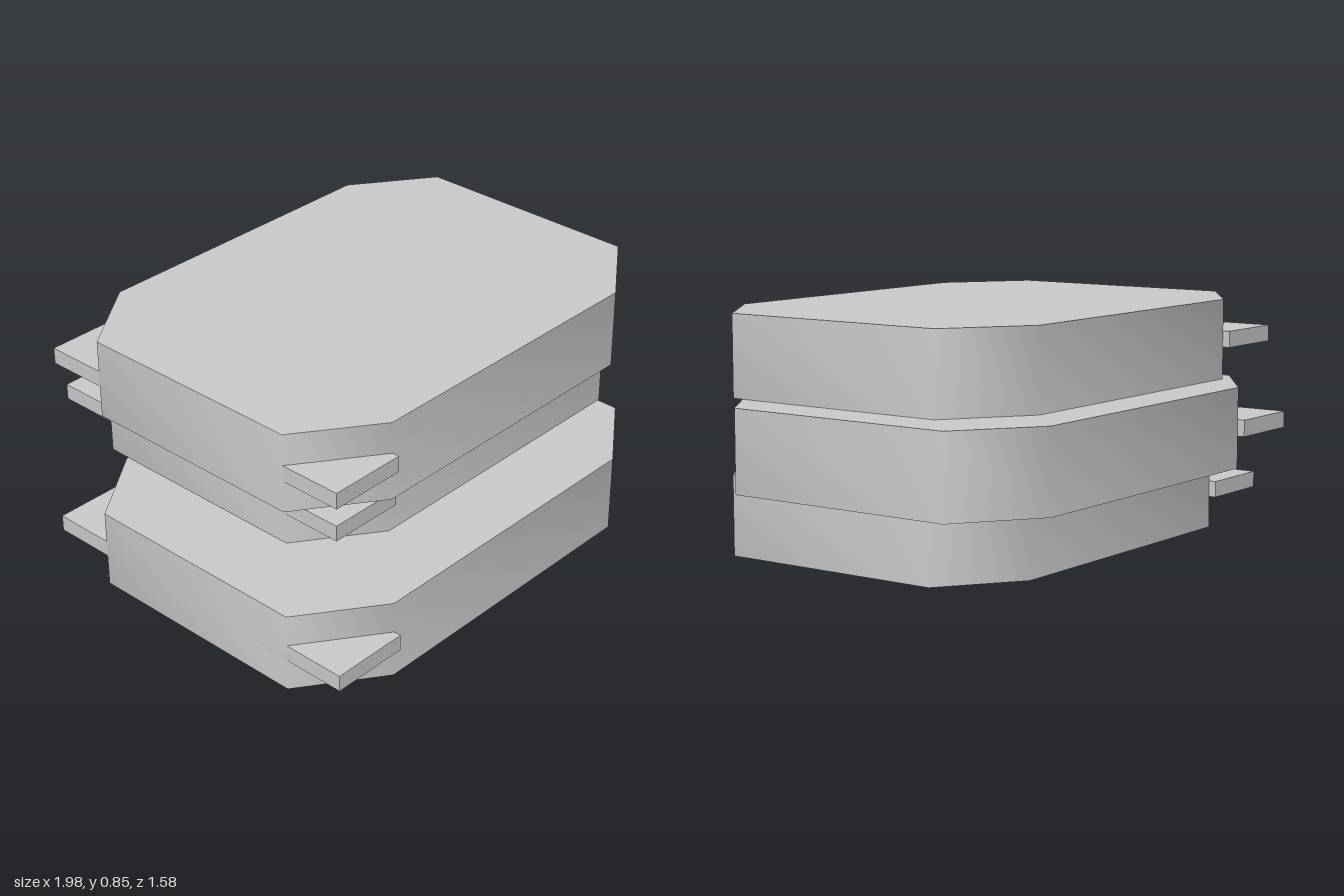
import * as THREE from 'three';

const HALF_X = 0.848, HALF_Z = 0.623, CUT_X = 0.28, CUT_Z = 0.2, HEIGHT = 0.284;

// Tray outline: a rectangle with cut corners, counter-clockwise seen from above
function outline() {
  const a = HALF_X - CUT_X, b = HALF_Z - CUT_Z;
  return [
    [HALF_X, b], [HALF_X, -b], [a, -HALF_Z], [-a, -HALF_Z],
    [-HALF_X, -b], [-HALF_X, b], [-a, HALF_Z], [a, HALF_Z],
  ];
}

// Wall band with shared vertices, so its shading runs smoothly round the corners
function wallGeometry() {
  const pts = outline(), n = pts.length, pos = [], idx = [];
  for (const [x, z] of pts) pos.push(x, 0, z, x, HEIGHT, z);
  for (let i = 0; i < n; i++) {
    const a = 2 * i, b = 2 * ((i + 1) % n);
    idx.push(a, b, a + 1, b, b + 1, a + 1);
  }
  const g = new THREE.BufferGeometry();
  g.setAttribute('position', new THREE.Float32BufferAttribute(pos, 3));
  g.setIndex(idx);
  g.computeVertexNormals();
  return g;
}

// Flat lid closing the top of the wall band
function lidGeometry() {
  const shape = new THREE.Shape(outline().map(([x, z]) => new THREE.Vector2(x, -z)));
  return new THREE.ShapeGeometry(shape).rotateX(-Math.PI / 2).translate(0, HEIGHT, 0);
}

export function createModel() {
  const group = new THREE.Group();
  group.name = 'stackedTrays';
  const grey = new THREE.MeshStandardMaterial({ color: 0xcccccc, side: THREE.DoubleSide });
  grey.name = 'lightGrey';

  const wall = wallGeometry(), lid = lidGeometry();
  // Flat bar across one end, its corners poking past the cut corners
  const bar = new THREE.BoxGeometry(0.282, 0.058, 1.3).translate(-HALF_X + 0.141, 0.143, 0);

  // Three shifted layers, bottom to top: name, x, z
  const layers = [['bottomTray', -0.137, 0.14], ['middleTray', 0.151, -0.14], ['topTray', -0.022, 0.025]];
  layers.forEach(([name, x, z], i) => {
    const tray = new THREE.Group();
    tray.name = name;
    for (const [part, geometry] of [['wall', wall], ['lid', lid], ['endBar', bar]]) {
      const mesh = new THREE.Mesh(geometry, grey);
      mesh.name = part;
      tray.add(mesh);
    }
    tray.position.set(x, i * HEIGHT, z);
    group.add(tray);
  });
  return group;
}
